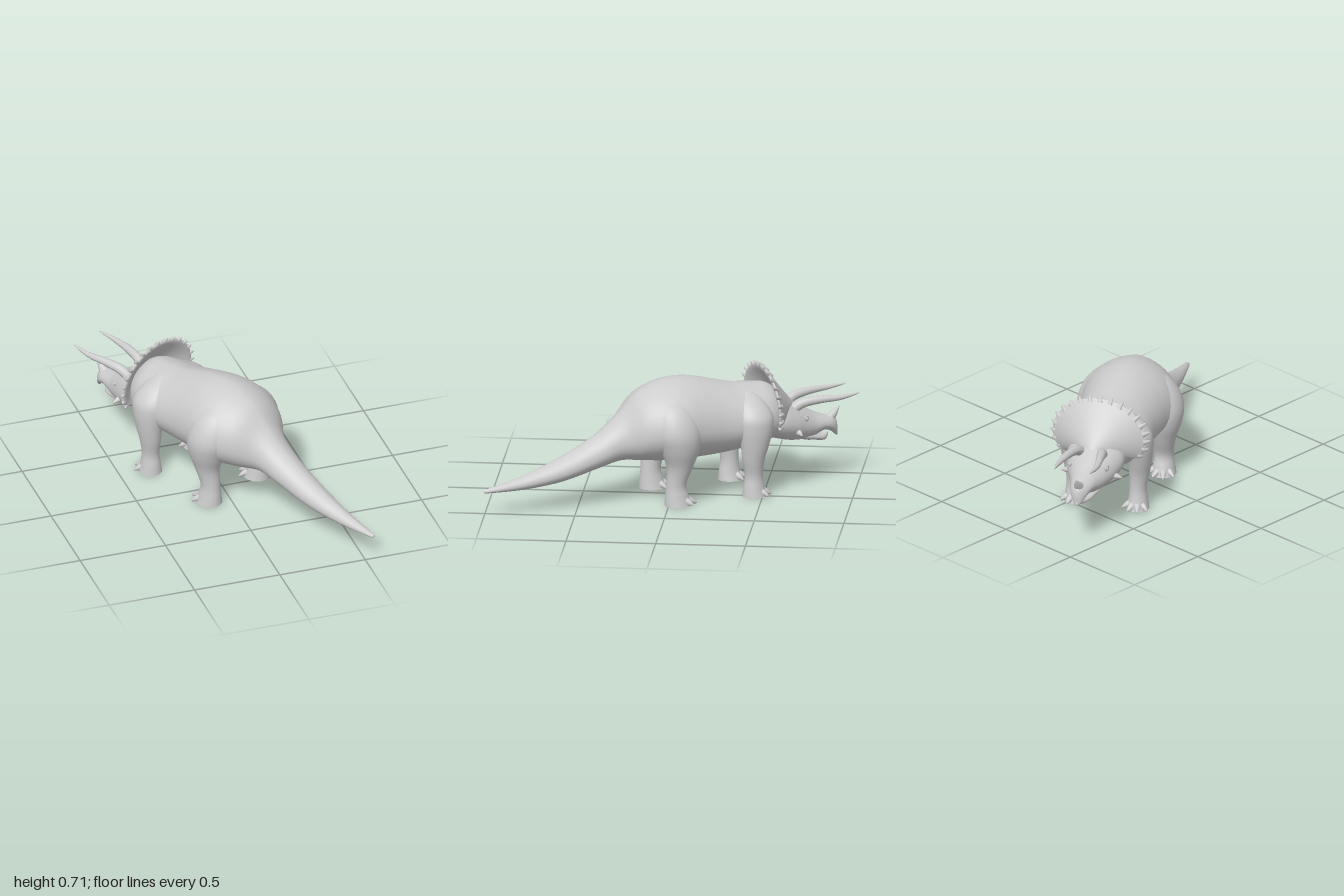
import * as THREE from 'three';

const mat = new THREE.MeshStandardMaterial({ color: 0xcccccc, roughness: 0.8 });

// Smooth interpolation through a short list of section rows
function resample(rows, steps) {
  const size = rows[0].length;
  const spline = new THREE.CubicInterpolant(rows.map((_, i) => i), rows.flat(), size, new Float32Array(size));
  const out = [];
  for (let i = 0; i <= steps; i++) out.push([...spline.evaluate((i / steps) * (rows.length - 1))]);
  return out;
}

// Skin over rows of points; every row is a closed ring
function skin(rows, cols, point) {
  const pos = [], index = [];
  for (let i = 0; i <= rows; i++) {
    for (let j = 0; j < cols; j++) pos.push(...point(i, j));
  }
  for (let i = 0; i < rows; i++) {
    for (let j = 0; j < cols; j++) {
      const k = (j + 1) % cols;
      const a = i * cols + j, b = i * cols + k, c = a + cols, d = b + cols;
      index.push(a, b, c, b, d, c);
    }
  }
  const g = new THREE.BufferGeometry();
  g.setAttribute('position', new THREE.Float32BufferAttribute(pos, 3));
  g.setIndex(index);
  g.computeVertexNormals();
  return g;
}

// Lengthwise loft, sections are [z, bottom, top, halfWidth]; slightly ridged above the widest line
function loft(sections, steps, waist = 0.45, cols = 40) {
  const s = resample(sections, steps);
  return skin(steps, cols, (i, j) => {
    const a = (j / cols) * Math.PI * 2;
    const [z, lo, hi, w] = s[i];
    const mid = lo + (hi - lo) * waist;
    const x = Math.cos(a), y = Math.sin(a);
    if (y <= 0) return [x * w, mid + y * (mid - lo), z];
    return [Math.sign(x) * Math.pow(Math.abs(x), 1.2) * w, mid + y * (hi - mid), z];
  });
}

// Tapered, curved horn through a few points
function horn(points, radius, power = 0.75, segs = 16, sides = 12) {
  const curve = new THREE.CatmullRomCurve3(points.map((p) => new THREE.Vector3(...p)));
  const g = new THREE.TubeGeometry(curve, segs, radius, sides);
  const p = g.attributes.position, v = new THREE.Vector3();
  for (let i = 0; i <= segs; i++) {
    const c = curve.getPointAt(i / segs);
    const k = Math.max(0.01, Math.pow(1 - i / segs, power));
    for (let j = 0; j <= sides; j++) {
      const n = i * (sides + 1) + j;
      v.fromBufferAttribute(p, n).sub(c).multiplyScalar(k).add(c);
      p.setXYZ(n, v.x, v.y, v.z);
    }
  }
  g.computeVertexNormals();
  return g;
}

function add(parent, name, geometry) {
  const m = new THREE.Mesh(geometry, mat);
  m.name = name;
  parent.add(m);
  return m;
}

// Leg sections from the top down: [y, x, z, radiusX, radiusZ]
const HIND = [
  [0.61, 0.08, -0.05, 0.06, 0.06], [0.57, 0.125, -0.05, 0.09, 0.095], [0.5, 0.165, -0.05, 0.107, 0.122],
  [0.41, 0.19, -0.045, 0.112, 0.132], [0.32, 0.198, -0.035, 0.095, 0.112], [0.22, 0.195, -0.035, 0.066, 0.076],
  [0.12, 0.19, -0.055, 0.053, 0.057], [0.05, 0.19, -0.05, 0.061, 0.068], [0, 0.19, -0.044, 0.071, 0.077],
];
const FRONT = [
  [0.58, 0.07, 0.41, 0.04, 0.04], [0.53, 0.125, 0.415, 0.07, 0.08], [0.46, 0.17, 0.42, 0.085, 0.105],
  [0.39, 0.185, 0.42, 0.082, 0.103], [0.3, 0.193, 0.415, 0.067, 0.082], [0.21, 0.188, 0.408, 0.057, 0.063],
  [0.12, 0.182, 0.412, 0.048, 0.051], [0.05, 0.182, 0.413, 0.055, 0.06], [0, 0.18, 0.417, 0.065, 0.069],
];

function leg(sections, side, name) {
  const g = new THREE.Group();
  g.name = name;
  const s = resample(sections, 40), cols = 28;
  add(g, 'limb', skin(40, cols, (i, j) => {
    const a = (j / cols) * Math.PI * 2;
    const [y, x, z, rx, rz] = s[i];
    return [side * x + Math.cos(a) * rx, y, z + Math.sin(a) * rz];
  }));
  const [, x, z, rx, rz] = sections[sections.length - 1];
  const sole = add(g, 'sole', new THREE.CircleGeometry(1, 28).rotateX(Math.PI / 2));
  sole.scale.set(rx, 1, rz);
  sole.position.set(side * x, 0.001, z);
  // Toes fan out over the front half of the foot
  for (const deg of [-60, -22, 16, 54]) {
    const a = THREE.MathUtils.degToRad(deg * side);
    const at = (k, y) => [side * x + Math.sin(a) * rx * k, y, z + Math.cos(a) * rz * k];
    add(g, 'toe', horn([at(0.45, 0.034), at(0.9, 0.023), at(1.4, 0.007)], 0.026, 0.6, 10, 10));
  }
  return g;
}

// Bony frill: a dished fan around the back of the skull
function frill() {
  const g = new THREE.Group();
  g.name = 'frill';
  const cy = 0.435, start = -0.45, sweep = Math.PI + 0.9;
  const spread = (t) => Math.pow(Math.max(0, Math.sin(Math.PI * t)), 0.12);
  const place = (a, k, r, z) => [Math.cos(a) * r * k * 1.12, cy + Math.sin(a) * r * k * 0.96, 0.66 + (z - 0.66) * (0.2 + 0.8 * k)];
  const profile = new THREE.CatmullRomCurve3([
    [0.01, 0.73], [0.065, 0.69], [0.12, 0.645], [0.19, 0.592], [0.25, 0.547], [0.272, 0.53],
    [0.258, 0.522], [0.19, 0.56], [0.12, 0.605], [0.02, 0.66],
  ].map(([r, z]) => new THREE.Vector3(r, z, 0)));
  const loop = profile.getPoints(35);
  add(g, 'frillPlate', skin(90, loop.length, (i, j) => {
    const t = i / 90;
    return place(start + t * sweep, spread(t), loop[j].x, loop[j].y);
  }));
  // Blunt teeth along the rim
  const count = 19;
  for (let i = 0; i < count; i++) {
    const t = 0.05 + (0.9 * i) / (count - 1);
    const at = (r, z) => place(start + t * sweep, spread(t), r, z);
    add(g, 'frillSpike', horn([at(0.25, 0.542), at(0.271, 0.528), at(0.289, 0.516)], 0.016, 0.5, 10, 10));
  }
  return g;
}

function head() {
  const g = new THREE.Group();
  g.name = 'head';
  add(g, 'skull', loft([
    [0.5, 0.3, 0.54, 0.14], [0.61, 0.268, 0.52, 0.165], [0.69, 0.25, 0.48, 0.148], [0.77, 0.246, 0.434, 0.112],
    [0.83, 0.256, 0.4, 0.085], [0.89, 0.282, 0.374, 0.066], [0.94, 0.272, 0.36, 0.05],
    [0.972, 0.245, 0.342, 0.028], [0.985, 0.242, 0.3, 0.002],
  ], 48));
  add(g, 'lowerJaw', loft([
    [0.7, 0.27, 0.33, 0.05], [0.77, 0.243, 0.31, 0.078], [0.83, 0.234, 0.287, 0.064],
    [0.88, 0.225, 0.27, 0.044], [0.91, 0.226, 0.267, 0.025], [0.928, 0.25, 0.267, 0.002],
  ], 30));
  add(g, 'noseHorn', horn([[0, 0.33, 0.925], [0, 0.37, 0.965], [0, 0.408, 0.997]], 0.034));
  for (const s of [1, -1]) {
    add(g, 'browHorn', horn([
      [s * 0.056, 0.425, 0.685], [s * 0.072, 0.466, 0.74], [s * 0.092, 0.484, 0.84],
      [s * 0.108, 0.488, 0.96], [s * 0.102, 0.502, 1.08],
    ], 0.031, 0.6, 28, 16));
    add(g, 'cheekHorn', horn([[s * 0.09, 0.33, 0.69], [s * 0.14, 0.32, 0.7], [s * 0.18, 0.312, 0.703]], 0.032));
    const eye = add(g, 'eye', new THREE.SphereGeometry(0.012, 16, 12));
    eye.position.set(s * 0.105, 0.385, 0.758);
    const lid = add(g, 'eyelid', new THREE.TorusGeometry(0.013, 0.005, 8, 20));
    lid.position.set(s * 0.107, 0.387, 0.758);
    lid.rotation.y = s * 1.15;
  }
  return g;
}

export function createModel() {
  const model = new THREE.Group();
  const animal = new THREE.Group();
  animal.name = 'hornedDinosaur';

  // Tail, trunk and neck in one skin
  add(animal, 'body', loft([
    [-1.127, 0.135, 0.148, 0.004], [-1.1, 0.13, 0.156, 0.016], [-0.9, 0.13, 0.205, 0.046], [-0.68, 0.152, 0.285, 0.077],
    [-0.47, 0.205, 0.39, 0.098], [-0.33, 0.24, 0.5, 0.125], [-0.22, 0.235, 0.61, 0.212], [-0.11, 0.225, 0.662, 0.264],
    [0, 0.22, 0.683, 0.268], [0.11, 0.22, 0.677, 0.248], [0.23, 0.225, 0.648, 0.232], [0.35, 0.238, 0.617, 0.228],
    [0.46, 0.255, 0.605, 0.218], [0.56, 0.275, 0.59, 0.18], [0.64, 0.3, 0.52, 0.12], [0.68, 0.37, 0.44, 0.01],
  ], 90, 0.43, 48));

  for (const [side, word] of [[1, 'Left'], [-1, 'Right']]) {
    animal.add(leg(HIND, side, `hind${word}Leg`));
    animal.add(leg(FRONT, side, `front${word}Leg`));
  }
  animal.add(head(), frill());

  // The animal stands diagonally, heading to the back right
  animal.rotation.y = Math.PI + 0.48;
  animal.position.x = 0.03;
  model.add(animal);
  return model;
}
